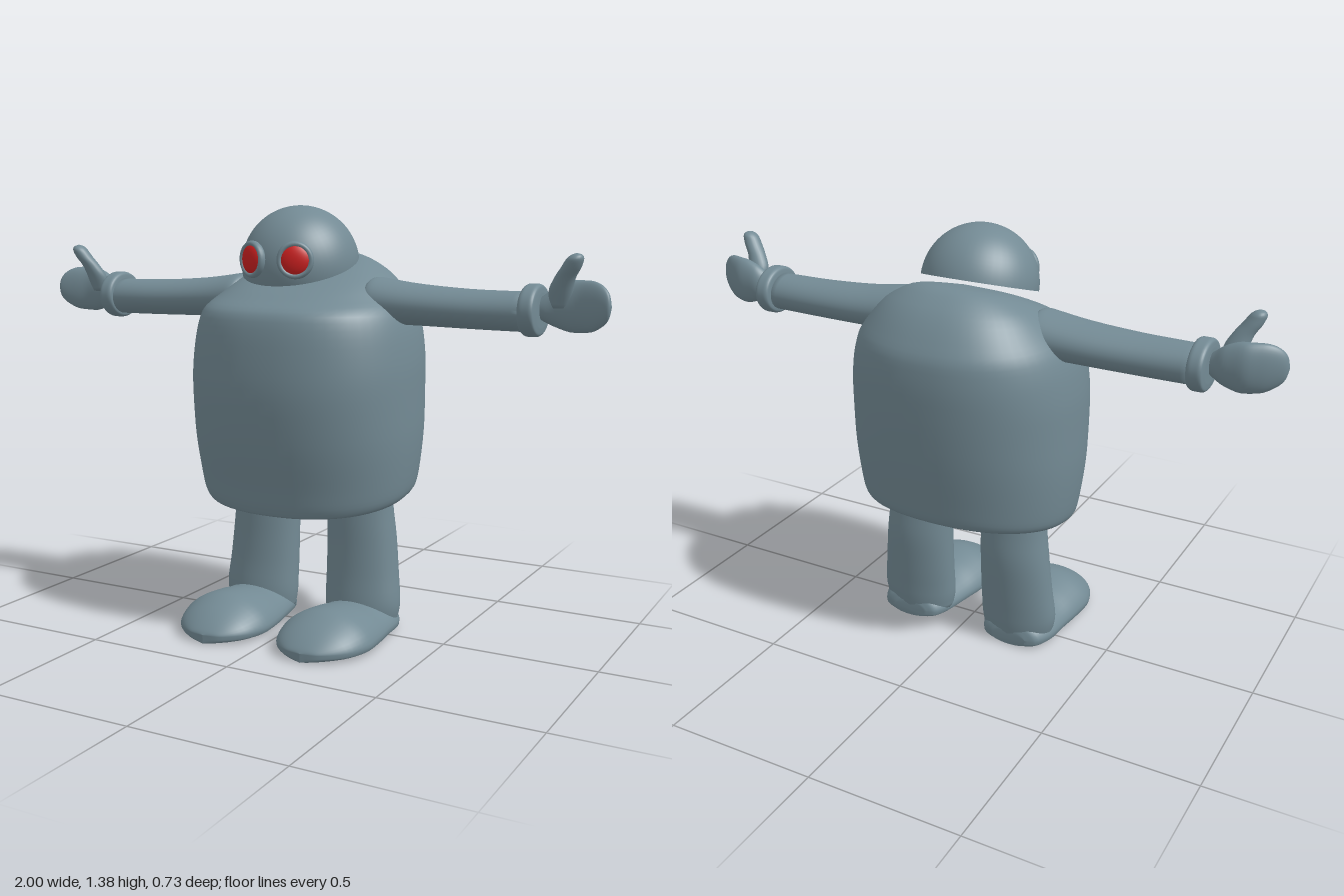
import * as THREE from 'three';

// Smooth, non-overshooting interpolation between rows of numbers
function refine(rows, steps) {
  const tangent = (i, k) => {
    const a = i > 0 ? rows[i][k] - rows[i - 1][k] : null;
    const b = i < rows.length - 1 ? rows[i + 1][k] - rows[i][k] : null;
    if (a === null) return b;
    if (b === null) return a;
    return a * b <= 0 ? 0 : (2 * a * b) / (a + b);
  };
  const out = [];
  for (let i = 0; i < rows.length - 1; i++) {
    for (let s = 0; s < steps; s++) {
      const t = s / steps, t2 = t * t, t3 = t2 * t;
      out.push(rows[i].map((p, k) =>
        p * (2 * t3 - 3 * t2 + 1) + tangent(i, k) * (t3 - 2 * t2 + t) +
        rows[i + 1][k] * (3 * t2 - 2 * t3) + tangent(i + 1, k) * (t3 - t2)));
    }
  }
  out.push(rows[rows.length - 1]);
  return out;
}

// Closed skin over cross-sections; point(row, cos, sin) gives [x, y, z]
function loft(rows, point, { side = 1, steps = 4, n = 40 } = {}) {
  const pos = [], index = [];
  const fine = refine(rows, steps);
  for (const row of fine) {
    for (let j = 0; j < n; j++) {
      const a = (j / n) * Math.PI * 2;
      const [x, y, z] = point(row, Math.cos(a), Math.sin(a));
      pos.push(x * side, y, z);
    }
  }
  for (let i = 0; i < fine.length - 1; i++) {
    for (let j = 0; j < n; j++) {
      const a = i * n + j, b = i * n + (j + 1) % n;
      index.push(a, a + n, b, b, a + n, b + n);
    }
  }
  // End caps
  const last = (fine.length - 1) * n;
  for (let j = 1; j < n - 1; j++) {
    index.push(0, j, j + 1, last, last + j + 1, last + j);
  }
  // Turn the faces outward whatever the direction of the sections
  const v = i => new THREE.Vector3().fromArray(pos, i * 3);
  let volume = 0;
  for (let i = 0; i < index.length; i += 3) {
    volume += v(index[i]).dot(v(index[i + 1]).cross(v(index[i + 2])));
  }
  if (volume < 0) index.reverse();
  const g = new THREE.BufferGeometry();
  g.setAttribute('position', new THREE.Float32BufferAttribute(pos, 3));
  g.setIndex(index);
  g.computeVertexNormals();
  return g;
}

const power = (v, e) => Math.sign(v) * Math.abs(v) ** e;
// Sections [x, y, z, ry, rz] along x, and [x, y, z, rx, rz] along y
const alongX = ([x, y, z, ry, rz], c, s) => [x, y + ry * s, z + rz * c];
const alongY = ([x, y, z, rx, rz], c, s) => [x + rx * c, y, z + rz * s];
// Tilted body sections [front z, front y, back z, back y, half width]
const bodySection = ([zf, yf, zb, yb, w], c, s) => {
  const t = (power(s, 0.88) + 1) / 2;
  return [w * power(c, 0.88), yb + (yf - yb) * t, zb + (zf - zb) * t];
};
// Foot sections [z, x, half width, top] with a flat sole
const footSection = ([z, x, w, top], c, s) =>
  [x + w * c, s > 0 ? 0.035 + (top - 0.035) * s ** 1.2 : 0.035 + 0.028 * power(s, 0.5), z];

export function createModel() {
  const model = new THREE.Group();
  const grey = new THREE.MeshStandardMaterial({ color: 0x738a94 });
  grey.name = 'blueGrey';
  const red = new THREE.MeshStandardMaterial({ color: 0xcc2020 });
  red.name = 'red';
  const add = (parent, name, geometry, material = grey) => {
    const mesh = new THREE.Mesh(geometry, material);
    mesh.name = name;
    parent.add(mesh);
    return mesh;
  };

  // Barrel body, deeper at the back, with sloping base and neck
  add(model, 'body', loft([
    [-0.03, 0.465, -0.031, 0.465, 0.001],
    [0.20, 0.420, -0.27, 0.496, 0.29],
    [0.238, 0.418, -0.30, 0.503, 0.335],
    [0.250, 0.440, -0.31, 0.522, 0.355],
    [0.265, 0.51, -0.322, 0.59, 0.368],
    [0.298, 0.66, -0.345, 0.74, 0.379],
    [0.317, 0.83, -0.358, 0.88, 0.378],
    [0.310, 0.96, -0.362, 0.97, 0.368],
    [0.290, 1.055, -0.357, 1.05, 0.345],
    [0.220, 1.100, -0.325, 1.12, 0.300],
    [0.140, 1.138, -0.26, 1.20, 0.235],
    [0.040, 1.180, -0.18, 1.24, 0.140],
    [-0.07, 1.222, -0.071, 1.222, 0.001],
  ], bodySection, { n: 56 }));

  // Domed head, tipped forward
  const head = new THREE.Group();
  head.name = 'head';
  head.position.set(0, 1.2, 0.035);
  head.rotation.x = 0.32;
  model.add(head);
  add(head, 'headDome', new THREE.SphereGeometry(0.188, 48, 20, 0, Math.PI * 2, 0, Math.PI / 2));
  add(head, 'headBase', new THREE.CircleGeometry(0.188, 48)).rotation.x = Math.PI / 2;

  for (const side of [1, -1]) {
    const label = side > 0 ? 'left' : 'right';

    // Eye with raised rim
    const eye = new THREE.Group();
    eye.name = label + 'Eye';
    eye.position.set(0.076 * side, 1.222, 0.207);
    eye.rotation.y = 0.4 * side;
    model.add(eye);
    add(eye, 'eyeRim', new THREE.TorusGeometry(0.049, 0.009, 12, 36)).scale.z = 1.4;
    add(eye, 'eyeLens', new THREE.SphereGeometry(0.048, 32, 16), red).scale.z = 0.4;

    // Arm, cuff and hand
    const arm = new THREE.Group();
    arm.name = label + 'Arm';
    model.add(arm);
    add(arm, 'sleeve', loft([
      [0.225, 1.10, -0.02, 0.045, 0.07],
      [0.24, 1.098, -0.02, 0.066, 0.092],
      [0.27, 1.092, -0.02, 0.072, 0.10],
      [0.40, 1.083, -0.02, 0.064, 0.094],
      [0.60, 1.076, -0.016, 0.060, 0.082],
      [0.75, 1.075, -0.014, 0.060, 0.073],
    ], alongX, { side }));
    add(arm, 'cuff', loft([
      [0.732, 1.08, -0.018, 0.055, 0.068],
      [0.735, 1.08, -0.018, 0.072, 0.086],
      [0.748, 1.08, -0.018, 0.079, 0.092],
      [0.770, 1.08, -0.018, 0.079, 0.092],
      [0.782, 1.08, -0.018, 0.072, 0.086],
      [0.785, 1.08, -0.018, 0.050, 0.060],
    ], alongX, { side }));
    add(arm, 'palm', loft([
      [0.770, 1.085, -0.015, 0.025, 0.025],
      [0.795, 1.088, -0.020, 0.042, 0.030],
      [0.830, 1.093, -0.028, 0.063, 0.034],
      [0.880, 1.095, -0.028, 0.077, 0.035],
      [0.930, 1.097, -0.014, 0.075, 0.031],
      [0.970, 1.100, 0.003, 0.059, 0.023],
      [0.992, 1.100, 0.014, 0.034, 0.014],
      [1.000, 1.100, 0.018, 0.001, 0.001],
    ], alongX, { side }));
    add(arm, 'thumb', loft([
      [0.840, 1.09, -0.015, 0.030, 0.025],
      [0.845, 1.14, 0.000, 0.036, 0.028],
      [0.860, 1.18, 0.014, 0.031, 0.027],
      [0.880, 1.21, 0.025, 0.029, 0.028],
      [0.893, 1.235, 0.031, 0.025, 0.026],
      [0.898, 1.248, 0.031, 0.014, 0.015],
      [0.898, 1.252, 0.031, 0.001, 0.001],
    ], alongY, { side, n: 24 }));

    // Leg and foot
    const leg = new THREE.Group();
    leg.name = label + 'Leg';
    model.add(leg);
    add(leg, 'shin', loft([
      [0.190, 0.03, -0.040, 0.120, 0.080],
      [0.192, 0.10, -0.042, 0.131, 0.086],
      [0.187, 0.20, -0.050, 0.126, 0.085],
      [0.181, 0.32, -0.055, 0.120, 0.086],
      [0.175, 0.42, -0.052, 0.115, 0.082],
      [0.172, 0.52, -0.048, 0.113, 0.078],
    ], alongY, { side }));
    add(leg, 'foot', loft([
      [-0.122, 0.195, 0.06, 0.06],
      [-0.110, 0.195, 0.095, 0.09],
      [-0.050, 0.195, 0.125, 0.11],
      [0.040, 0.190, 0.138, 0.112],
      [0.120, 0.187, 0.150, 0.124],
      [0.200, 0.185, 0.156, 0.130],
      [0.280, 0.182, 0.135, 0.104],
      [0.335, 0.178, 0.088, 0.068],
      [0.358, 0.177, 0.045, 0.046],
      [0.365, 0.177, 0.001, 0.036],
    ], footSection, { side }));
  }
  return model;
}
